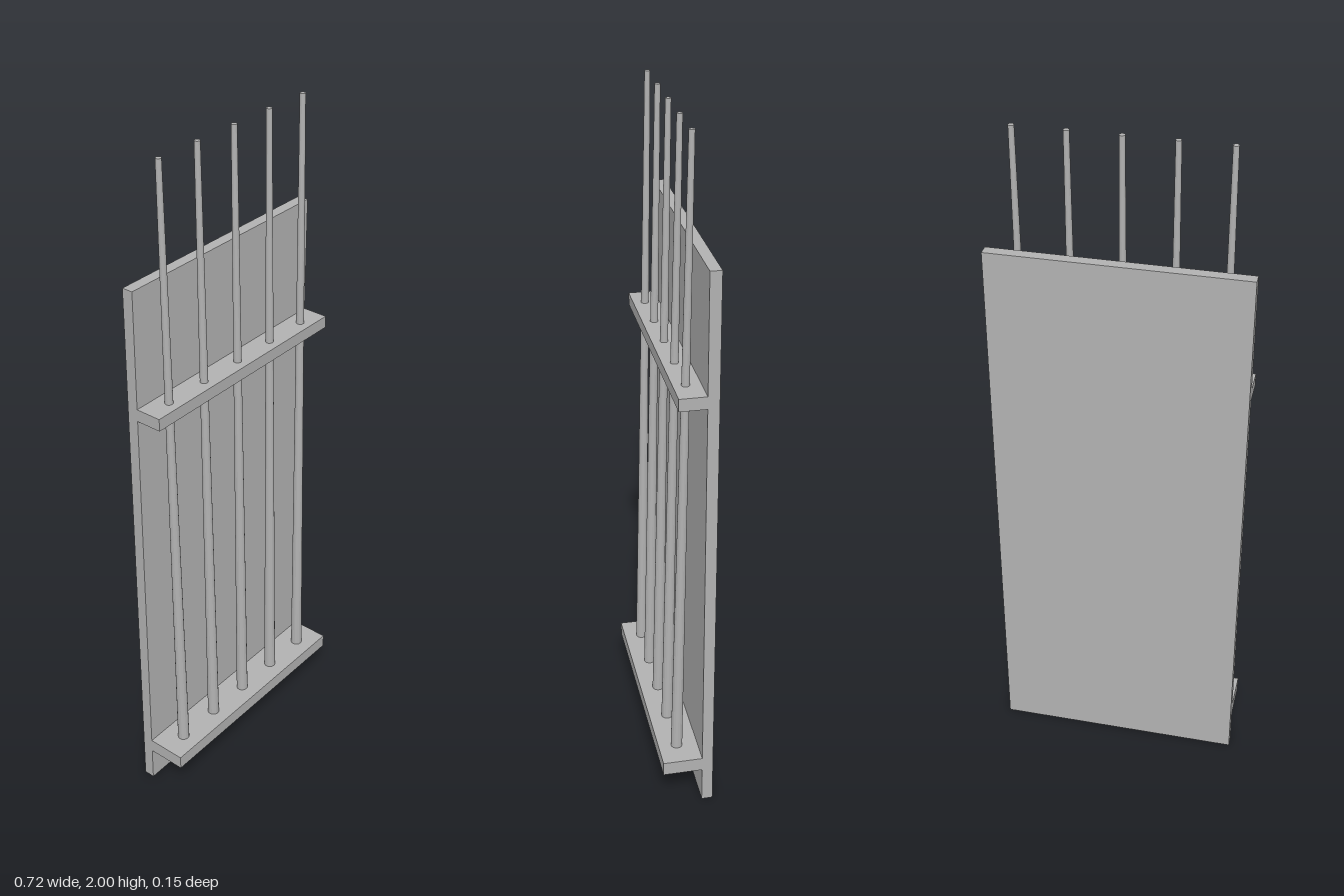
import * as THREE from 'three';

export function createModel() {
  const group = new THREE.Group();
  const grey = new THREE.MeshStandardMaterial({ color: 0xb2b2b2, flatShading: true });
  grey.name = 'plain grey';

  // Box given by its lower and upper y and its back and front z
  const board = (name, y0, y1, z0, z1) => {
    const mesh = new THREE.Mesh(new THREE.BoxGeometry(0.718, y1 - y0, z1 - z0), grey);
    mesh.name = name;
    mesh.position.set(0, (y0 + y1) / 2, (z0 + z1) / 2);
    group.add(mesh);
  };
  board('backboard', 0, 1.668, -0.074, -0.042);
  board('lowerShelf', 0.11, 0.152, -0.042, 0.073);
  board('upperRail', 1.292, 1.328, -0.042, 0.034);

  // Tapered rods stand on the lower shelf and lean back through the rail
  const bottom = new THREE.Vector3(0, 0.152, 0.019);
  const top = new THREE.Vector3(0, 2, -0.011);
  const axis = top.clone().sub(bottom);
  const rod = new THREE.CylinderGeometry(0.008, 0.017, axis.length(), 16);
  for (let i = -2; i <= 2; i++) {
    const mesh = new THREE.Mesh(rod, grey);
    mesh.name = `rod${i + 3}`;
    mesh.position.copy(bottom).add(top).multiplyScalar(0.5);
    mesh.position.x = i * 0.141;
    mesh.rotation.x = Math.atan2(axis.z, axis.y);
    group.add(mesh);
  }
  return group;
}
